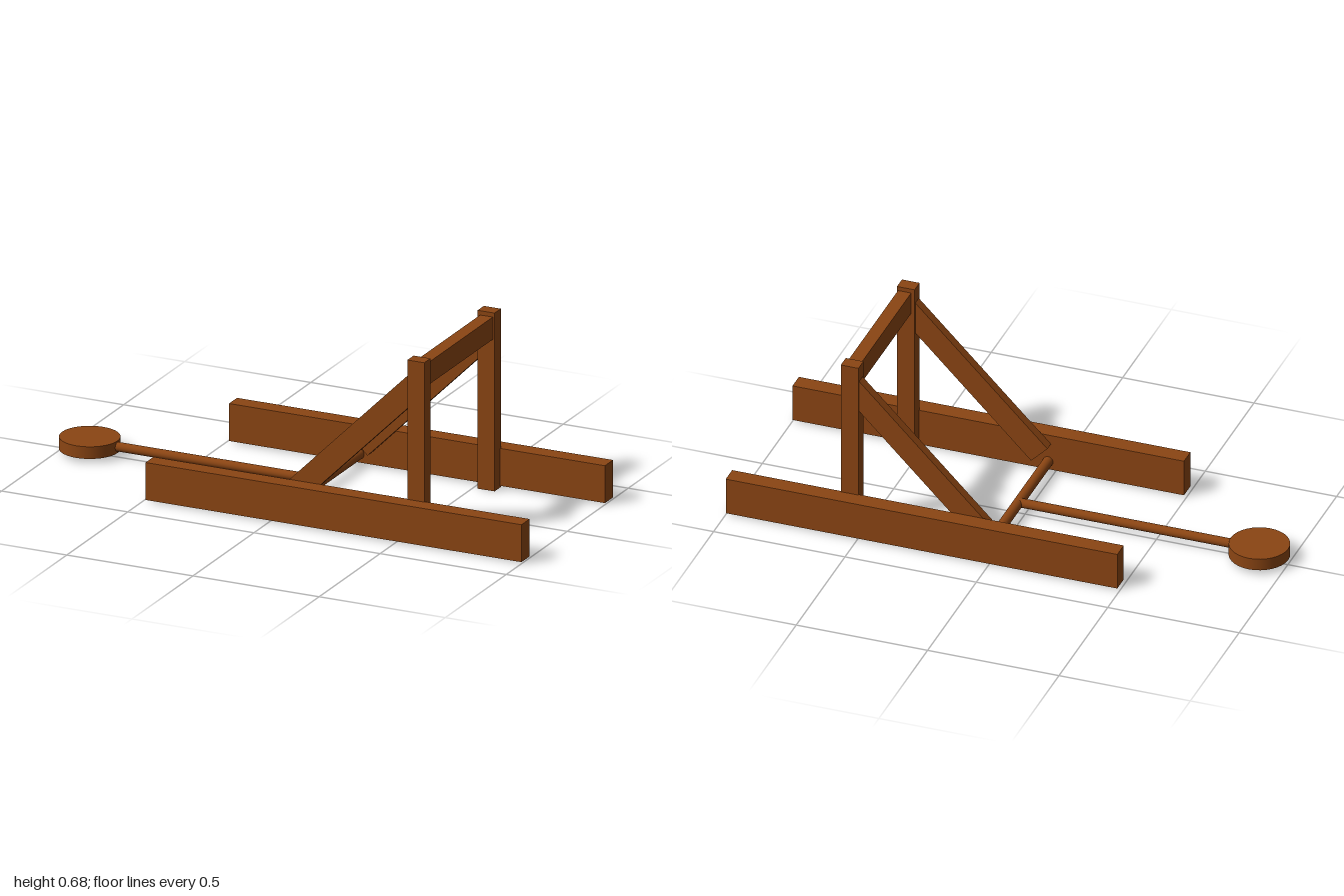
import * as THREE from 'three';

export function createModel() {
  const model = new THREE.Group();
  model.name = 'catapult';
  const wood = new THREE.MeshStandardMaterial({ color: 0x8b4513 });

  const add = (name, geometry, x, y, z) => {
    const mesh = new THREE.Mesh(geometry, wood);
    mesh.name = name;
    mesh.position.set(x, y, z);
    model.add(mesh);
    return mesh;
  };
  const beam = (name, w, h, d, x, y, z) => add(name, new THREE.BoxGeometry(w, h, d), x, y, z);
  const rod = (name, radius, length, x, y, z) =>
    add(name, new THREE.CylinderGeometry(radius, radius, length, 32), x, y, z);

  // Mirrored side frames: ground rail, upright post and diagonal brace
  for (const [side, s] of [['left', 1], ['right', -1]]) {
    beam(side + 'Rail', 1.49, 0.142, 0.066, 0.255, 0.077, s * 0.342);
    beam(side + 'Post', 0.067, 0.677, 0.051, 0.5515, 0.3385, s * 0.288);
    // Braces lean at 45 degrees, with square-cut ends
    const brace = beam(side + 'Brace', 0.712, 0.088, 0.036, 0.298, 0.3355, s * 0.288);
    brace.rotation.z = Math.PI / 4;
  }

  // Crossbar between the posts
  beam('crossbar', 0.05, 0.085, 0.518, 0.555, 0.62, 0.001);

  // Axle across the frame
  rod('axle', 0.019, 0.62, 0.027, 0.039, 0).rotation.x = Math.PI / 2;

  // Throwing arm with a round cup plate at its end
  rod('throwingArm', 0.017, 0.86, -0.405, 0.041, 0.004).rotation.z = Math.PI / 2;
  rod('cup', 0.11, 0.046, -0.89, 0.04, 0.005);

  return model;
}
